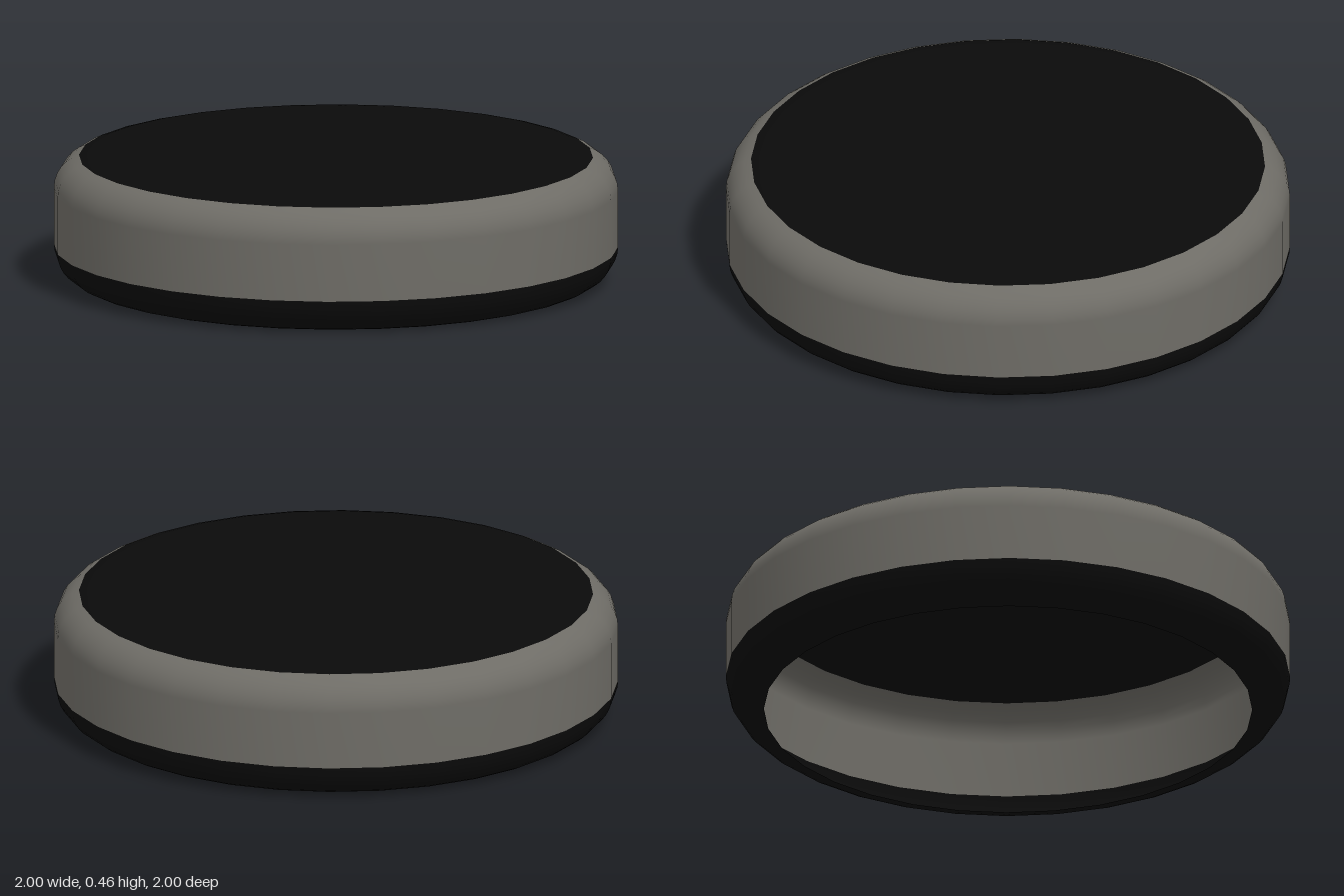
import * as THREE from 'three';

const SIDES = 32;
const HEIGHT = 0.455;
const FLAT = 0.865; // radius where the rounded edges begin
const RX = 1 - FLAT; // rounding across
const RY = 0.125; // rounding in height

// Points on a rounded edge; angles in degrees, 0 = side wall, 90 = top, -90 = bottom
function edge(cy, from, to, steps) {
  const points = [];
  for (let i = 0; i <= steps; i++) {
    const a = THREE.MathUtils.degToRad(from + ((to - from) * i) / steps);
    points.push(new THREE.Vector2(FLAT + RX * Math.cos(a), cy + RY * Math.sin(a)));
  }
  return points;
}

export function createModel() {
  const group = new THREE.Group();
  const black = new THREE.MeshStandardMaterial({ color: 0x0a0a0a, side: THREE.DoubleSide });
  const tinted = new THREE.MeshStandardMaterial({ color: 0x6e6c66, side: THREE.DoubleSide });

  const addShell = (name, points, material) => {
    const mesh = new THREE.Mesh(new THREE.LatheGeometry(points, SIDES), material);
    mesh.name = name;
    group.add(mesh);
  };

  const topCentre = HEIGHT - RY;
  const split = 70; // where the band meets the cap

  // Lower lip, curling inward around the open underside
  addShell('lowerRim', edge(RY, -90, 0, 8), black);

  // Upright wall and the rounded shoulder above it
  addShell('sideBand', [new THREE.Vector2(1, RY), ...edge(topCentre, 0, split, 6)], tinted);

  // Last of the shoulder and the flat top
  addShell('topCap', [...edge(topCentre, split, 90, 2), new THREE.Vector2(0, HEIGHT)], black);

  return group;
}
